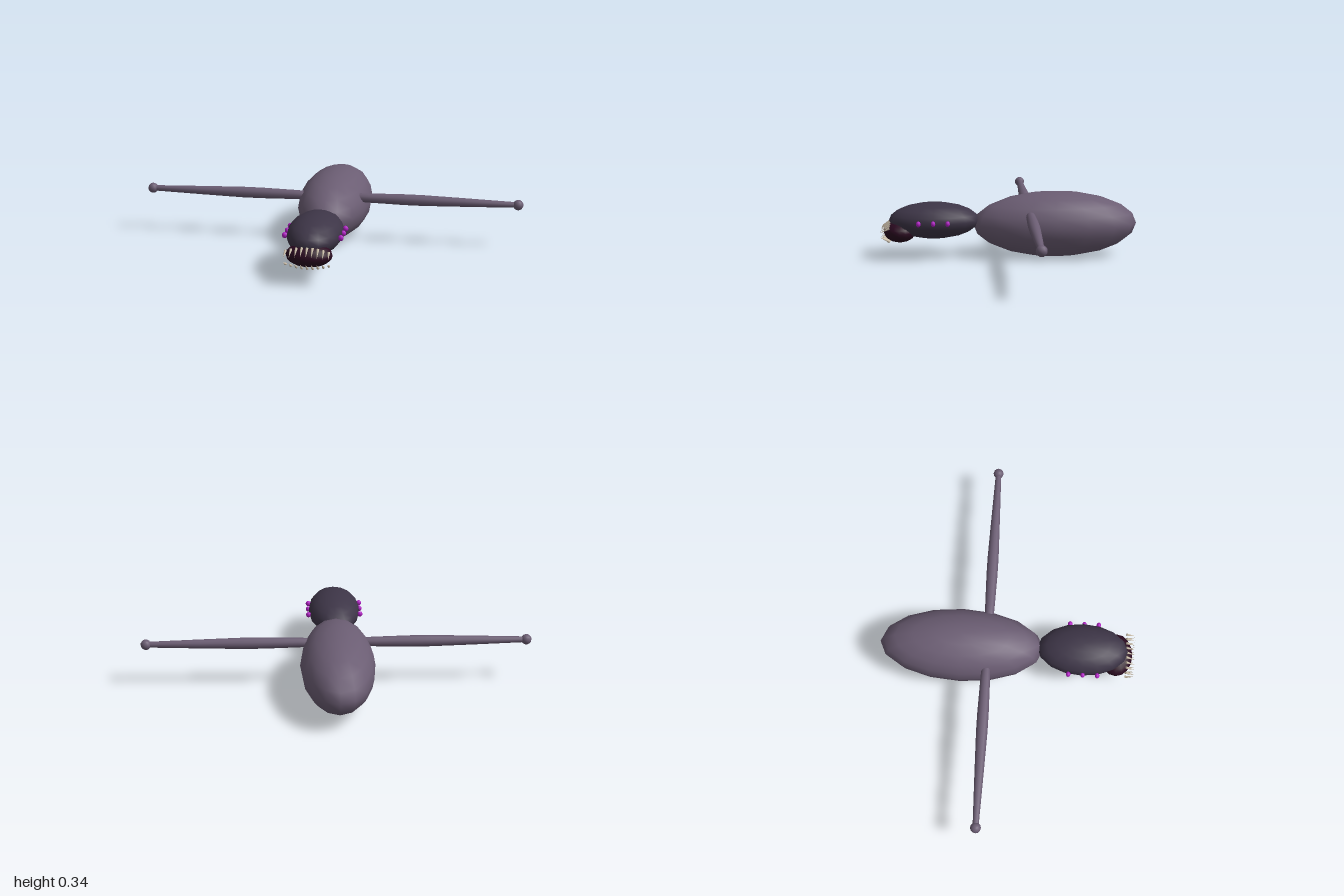
import * as THREE from 'three';

const material = (name, color) => {
  const m = new THREE.MeshStandardMaterial({ color });
  m.name = name;
  return m;
};

export function createModel() {
  const model = new THREE.Group();
  model.name = 'creature';

  const skin = material('mauve skin', 0x6b5d73);
  const dark = material('dark head', 0x3d3547);
  const maw = material('maw purple', 0x2a0a20);
  const glow = material('eye magenta', 0xb01fc4);
  const bone = material('tooth bone', 0xcfc2ae);

  const add = (name, geometry, mat, x, y, z) => {
    const mesh = new THREE.Mesh(geometry, mat);
    mesh.name = name;
    mesh.position.set(x, y, z);
    model.add(mesh);
    return mesh;
  };
  const ellipsoid = (rx, ry, rz, w = 16, h = 10) =>
    new THREE.SphereGeometry(1, w, h).scale(rx, ry, rz);

  // Body, head and lower jaw
  add('body', ellipsoid(0.19, 0.17, 0.425), skin, 0, 0.17, -0.238);
  add('head', ellipsoid(0.138, 0.094, 0.234), dark, 0, 0.193, 0.39);
  add('jaw', ellipsoid(0.115, 0.058, 0.085), maw, 0, 0.138, 0.567);

  // Long spindle arms with ball ends, and a row of three eyes on each side
  const armProfile = [[0, 0.06], [0.02, 0.06], [0.025, 0.2], [0.029, 0.38], [0.029, 0.48],
    [0.023, 0.7], [0.015, 0.96], [0, 0.97]].map(([r, l]) => new THREE.Vector2(r, l));
  for (const side of [1, -1]) {
    const label = side > 0 ? 'left' : 'right';
    const arm = add(label + 'Arm', new THREE.LatheGeometry(armProfile, 12), skin, 0, 0.234, -0.103);
    arm.rotation.z = -side * Math.PI / 2;
    add(label + 'Hand', ellipsoid(0.027, 0.027, 0.027, 12, 8), skin, side * 0.973, 0.234, -0.103);
    for (const z of [0.32, 0.394, 0.469]) {
      add(label + 'Eye', ellipsoid(0.014, 0.015, 0.012, 10, 8), glow, side * 0.139, 0.197, z);
    }
  }

  // Two rows of teeth leaning forward and closing towards each other
  const up = new THREE.Vector3(0, 1, 0);
  const count = 9;
  for (const row of [1, -1]) {
    for (let i = 0; i < count; i++) {
      const t = (i / (count - 1)) * 2 - 1;
      const base = new THREE.Vector3(t * 0.105, 0.136 + row * (0.052 - 0.018 * t * t), 0.618);
      const tip = new THREE.Vector3(t * 0.108, 0.136 + row * (0.018 - 0.006 * t * t), 0.665);
      const axis = tip.clone().sub(base);
      const middle = base.clone().add(tip).multiplyScalar(0.5);
      const tooth = add(row > 0 ? 'upperTooth' : 'lowerTooth',
        new THREE.ConeGeometry(0.007, axis.length(), 6), bone, middle.x, middle.y, middle.z);
      tooth.quaternion.setFromUnitVectors(up, axis.normalize());
    }
  }
  return model;
}
